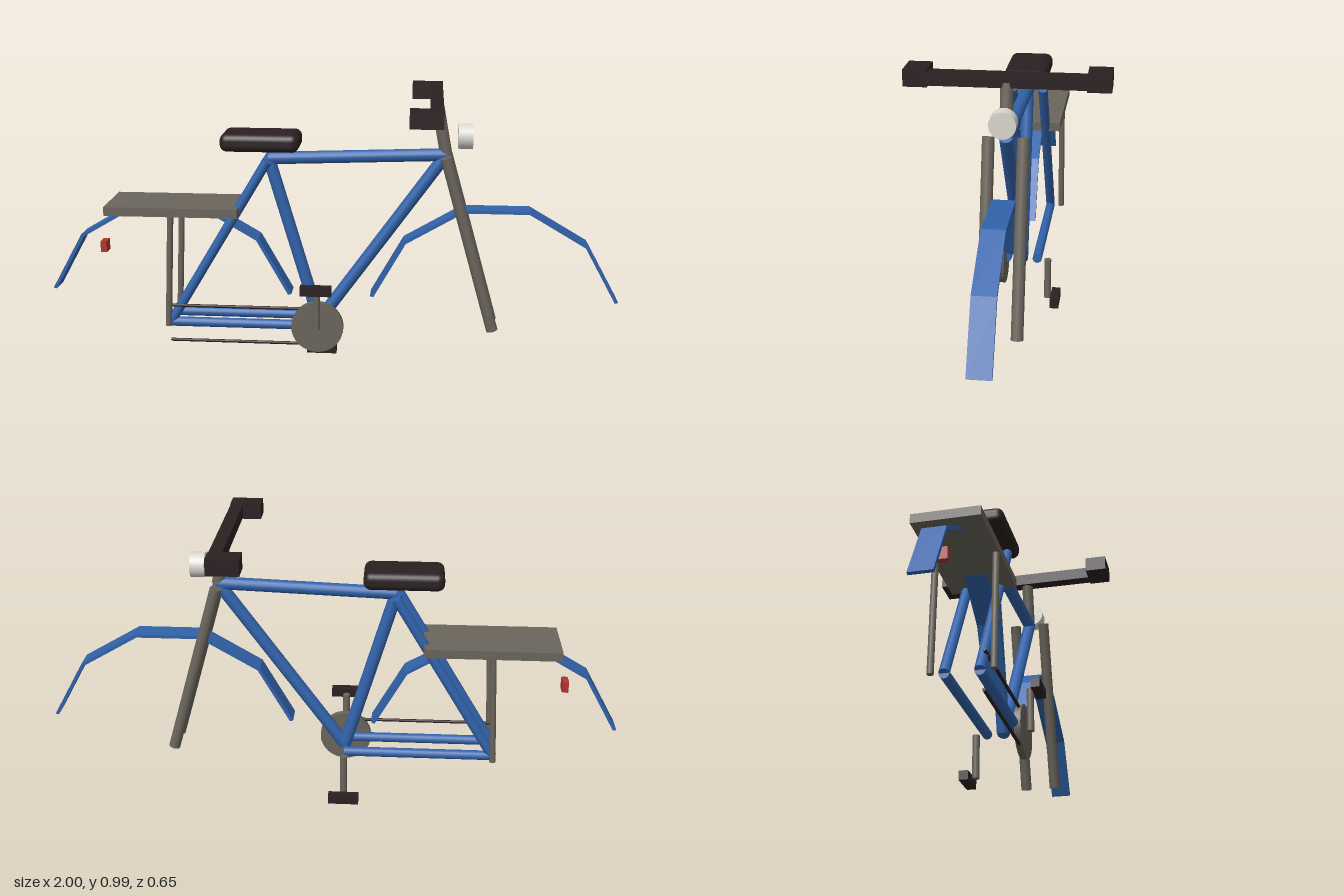
import * as THREE from 'three';
import { RoundedBoxGeometry } from 'three/addons/geometries/RoundedBoxGeometry.js';

const paint = (name, color) => {
  const m = new THREE.MeshStandardMaterial({ color });
  m.name = name;
  return m;
};

export function createModel() {
  const blue = paint('frame blue', 0x3163ab);
  const grey = paint('metal grey', 0x6a655c);
  const dark = paint('rubber dark', 0x2b2021);
  const white = paint('lamp white', 0xdad7d0);
  const red = paint('tail red', 0xb0352c);

  const model = new THREE.Group();
  model.name = 'bicycle';

  const add = (name, geometry, material, x = 0, y = 0, z = 0) => {
    const mesh = new THREE.Mesh(geometry, material);
    mesh.name = name;
    mesh.position.set(x, y, z);
    model.add(mesh);
    return mesh;
  };
  const box = (name, material, [w, h, d], [x, y, z]) =>
    add(name, new THREE.BoxGeometry(w, h, d), material, x, y, z);

  // Round tube between two points of the side plane, at depth z
  const tube = (name, material, r, [ax, ay], [bx, by], z = 0) => {
    const dx = bx - ax, dy = by - ay;
    const geometry = new THREE.CylinderGeometry(r, r, Math.hypot(dx, dy), 16);
    const mesh = add(name, geometry, material, (ax + bx) / 2, (ay + by) / 2, z);
    mesh.rotation.z = Math.atan2(dy, dx) - Math.PI / 2;
    return mesh;
  };

  // Main joints
  const rearAxle = [-0.57, 0.175], frontAxle = [0.567, 0.175];
  const crank = [-0.045, 0.175], seatJoint = [-0.218, 0.765], head = [0.392, 0.788];

  // Frame
  tube('topTube', blue, 0.022, seatJoint, head);
  tube('seatTube', blue, 0.022, crank, seatJoint);
  tube('downTube', blue, 0.022, crank, head);
  tube('steeringColumn', grey, 0.021, head, [0.36, 0.955]);
  for (const [side, s] of [['left', 1], ['right', -1]]) {
    tube(side + 'SeatStay', blue, 0.017, rearAxle, seatJoint, 0.055 * s);
    tube(side + 'ChainStay', blue, 0.017, rearAxle, crank, 0.055 * s);
    tube(side + 'ForkBlade', grey, 0.02, frontAxle, head, 0.055 * s);
    tube(side + 'RackStrut', grey, 0.011, rearAxle, [-0.55, 0.575], 0.098 * s);
    box(side + 'Grip', dark, [0.108, 0.054, 0.076], [0.324, 0.963, 0.286 * s]);
    // Cranks point opposite ways
    tube(side + 'CrankArm', grey, 0.0125, crank, [-0.045, 0.175 + 0.152 * s], 0.094 * s);
    box(side + 'Pedal', dark, [0.108, 0.032, 0.032], [-0.046, 0.173 + 0.153 * s, 0.122 * s]);
  }
  box('handlebar', dark, [0.044, 0.043, 0.57], [0.356, 0.963, 0]);
  add('saddle', new RoundedBoxGeometry(0.272, 0.063, 0.152, 4, 0.025), dark, -0.243, 0.828, 0);
  box('luggageRack', grey, [0.465, 0.031, 0.218], [-0.549, 0.59, 0]);

  // Mudguards: five straight segments bent round each axle
  const arc = (r, reverse) => {
    const pts = [];
    for (let i = 0; i <= 5; i++) {
      const a = 0.245 + ((Math.PI - 0.49) * (reverse ? 5 - i : i)) / 5;
      pts.push(new THREE.Vector2(r * Math.cos(a), r * Math.sin(a)));
    }
    return pts;
  };
  const guardShape = new THREE.Shape([...arc(0.443), ...arc(0.431, true)]);
  const guard = new THREE.ExtrudeGeometry(guardShape, { depth: 0.075, bevelEnabled: false });
  guard.translate(0, 0, -0.0375);
  add('frontMudguard', guard, blue, 0.568, 0.175, 0);
  add('rearMudguard', guard, blue, -0.57, 0.175, 0);

  // Chainring and chain runs
  const ring = add('chainring', new THREE.CylinderGeometry(0.092, 0.092, 0.022, 32), grey, -0.045, 0.175, 0.068);
  ring.rotation.x = Math.PI / 2;
  for (const [name, y] of [['upperChain', 0.24], ['lowerChain', 0.11]]) {
    tube(name, dark, 0.0055, [-0.57, y], [-0.045, y], 0.068);
  }

  // Lamps
  const lamp = add('headlamp', new THREE.CylinderGeometry(0.043, 0.043, 0.05, 24), white, 0.456, 0.853, 0);
  lamp.rotation.z = -Math.PI / 2;
  box('tailLamp', red, [0.022, 0.04, 0.045], [-0.812, 0.436, 0]);

  return model;
}
